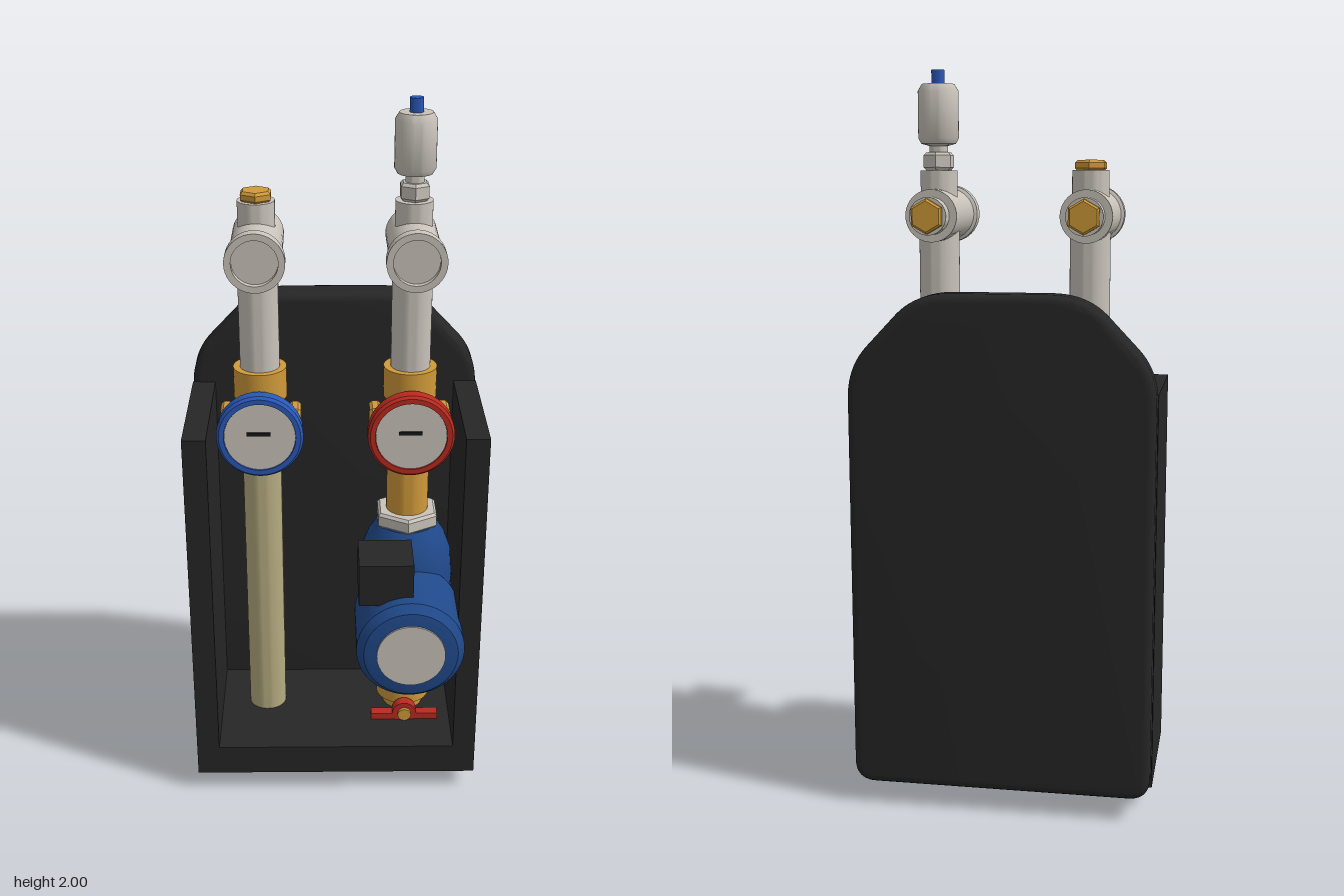
import * as THREE from 'three';
import { toCreasedNormals } from 'three/addons/utils/BufferGeometryUtils.js';

const mat = (name, color) => {
  const m = new THREE.MeshStandardMaterial({ color });
  m.name = name;
  return m;
};

export function createModel() {
  const root = new THREE.Group();
  root.name = 'pumpStation';
  const M = {
    dark: mat('charcoal foam', 0x262626),
    brass: mat('brass', 0xd09a3a),
    oldBrass: mat('aged brass', 0x80602a),
    steel: mat('pale steel', 0xc9c3ba),
    cream: mat('cream pipe', 0xb5ab80),
    blue: mat('signal blue', 0x2a58b8),
    red: mat('signal red', 0xba2a20),
    navy: mat('pump blue', 0x20498a),
    black: mat('black', 0x161616),
  };
  const PX = 0.208, PZ = -0.045;

  const add = (parent, name, geo, material, x = 0, y = 0, z = 0) => {
    const mesh = new THREE.Mesh(geo, material);
    mesh.name = name;
    mesh.position.set(x, y, z);
    parent.add(mesh);
    return mesh;
  };
  const box = (parent, name, m, x0, x1, y0, y1, z0, z1) =>
    add(parent, name, new THREE.BoxGeometry(x1 - x0, y1 - y0, z1 - z0), m,
      (x0 + x1) / 2, (y0 + y1) / 2, (z0 + z1) / 2);
  // Turned part: profile of [radius, height] pairs along the chosen axis
  const turned = (profile, axis = 'y', sides = 40) => {
    const pts = profile.map(([r, h]) => new THREE.Vector2(r, h));
    const g = toCreasedNormals(new THREE.LatheGeometry(pts, sides), 0.6);
    if (axis === 'z') g.rotateX(Math.PI / 2);
    if (axis === 'x') g.rotateZ(-Math.PI / 2);
    return g;
  };
  const rod = (r, a, b, axis = 'y', sides = 40) =>
    turned([[0, a], [r, a], [r, b], [0, b]], axis, sides);
  // Hexagon nut with chamfered ends
  const nut = (r, a, b, axis = 'y') => {
    const c = Math.min(0.008, (b - a) / 4);
    return turned([[0, a], [r - c, a], [r, a + c], [r, b - c], [r - c, b], [0, b]], axis, 6);
  };

  // Insulation case: back shell, floor and two side walls
  const casing = new THREE.Group();
  casing.name = 'case';
  root.add(casing);
  const s = new THREE.Shape();
  s.moveTo(-0.35, 0.06);
  s.lineTo(0.35, 0.06);
  s.quadraticCurveTo(0.41, 0.06, 0.41, 0.12);
  s.lineTo(0.41, 1.14);
  s.quadraticCurveTo(0.41, 1.22, 0.36, 1.275);
  s.lineTo(0.275, 1.365);
  s.quadraticCurveTo(0.22, 1.42, 0.13, 1.42);
  s.lineTo(-0.13, 1.42);
  s.quadraticCurveTo(-0.22, 1.42, -0.275, 1.365);
  s.lineTo(-0.36, 1.275);
  s.quadraticCurveTo(-0.41, 1.22, -0.41, 1.14);
  s.lineTo(-0.41, 0.12);
  s.quadraticCurveTo(-0.41, 0.06, -0.35, 0.06);
  const bevel = 0.022;
  const shell = new THREE.ExtrudeGeometry(s, {
    depth: 0.098 - 2 * bevel, bevelEnabled: true, bevelThickness: bevel,
    bevelSize: bevel, bevelOffset: -bevel, bevelSegments: 4, curveSegments: 10,
  });
  add(casing, 'backShell', toCreasedNormals(shell, 0.6), M.dark, 0, 0, -0.296 + bevel);
  box(casing, 'floor', M.dark, -0.345, 0.345, 0.06, 0.152, -0.2, 0.202);
  for (const k of [-1, 1])
    box(casing, 'sideWall', M.dark, k < 0 ? -0.41 : 0.345, k < 0 ? -0.345 : 0.41, 0.06, 1.155, -0.2, 0.202);

  // Both risers share the stub, ball valve, gauge and tee
  const riser = (name, x, ringColor) => {
    const g = new THREE.Group();
    g.name = name;
    g.position.set(x, 0, PZ);
    root.add(g);
    add(g, 'bottomStub', turned([[0, 0], [0.074, 0], [0.078, 0.005], [0.078, 0.022], [0.074, 0.026],
      [0.074, 0.034], [0.078, 0.038], [0.078, 0.08], [0, 0.08]]), M.oldBrass);

    // Ball valve
    add(g, 'valveBody', turned([[0, 0.975], [0.078, 0.975], [0.078, 1.02], [0.062, 1.03], [0.075, 1.06],
      [0.08, 1.1], [0.075, 1.14], [0.06, 1.165], [0.06, 1.175], [0.074, 1.18], [0.074, 1.268], [0, 1.268]]), M.brass);
    add(g, 'valveCrossBody', rod(0.045, -0.085, 0.085, 'x'), M.brass, 0, 1.1, 0);
    for (const k of [-1, 1])
      add(g, 'valveSideNut', nut(0.056, -0.016, 0.016, 'x'), M.brass, k * 0.096, 1.1, 0);
    add(g, 'gaugeStem', rod(0.05, 0, 0.09, 'z'), M.brass, 0, 1.105, 0);

    // Round gauge with a raised rim
    add(g, 'gaugeRim', turned([[0, 0.076], [0.112, 0.076], [0.12, 0.084], [0.12, 0.117], [0.113, 0.125],
      [0.099, 0.125], [0.099, 0.117], [0, 0.117]], 'z', 56), ringColor, 0, 1.105, 0);
    add(g, 'gaugeFace', rod(0.098, 0.117, 0.121, 'z', 56), M.steel, 0, 1.105, 0);
    box(g, 'gaugeNeedle', M.black, -0.035, 0.03, 1.11, 1.12, 0.121, 0.125);

    // Steel riser and tee
    add(g, 'steelPipe', rod(0.055, 1.268, 1.6), M.steel);
    add(g, 'teeBody', turned([[0, -0.145], [0.05, -0.145], [0.05, -0.103], [0.07, -0.103], [0.07, 0.132],
      [0.079, 0.136], [0.079, 0.17], [0.061, 0.17], [0.061, 0.152], [0, 0.152]], 'z'), M.steel, 0, 1.615, 0);
    add(g, 'teeTop', rod(0.05, 1.62, 1.735), M.steel);
    add(g, 'rearPlug', nut(0.047, -0.168, -0.143, 'z'), M.brass, 0, 1.615, 0);
    return g;
  };
  const left = riser('supplyRiser', PX, M.red);
  const right = riser('returnRiser', -PX, M.blue);

  // Return side: long plain pipe and top plug
  add(right, 'creamPipe', rod(0.055, 0.15, 0.98), M.cream);
  add(right, 'topPlug', nut(0.046, 1.733, 1.762), M.brass);

  // Supply side: air vent on top
  add(left, 'ventNut', nut(0.043, 1.735, 1.783), M.steel);
  add(left, 'airVent', turned([[0, 1.775], [0.025, 1.775], [0.025, 1.8], [0.047, 1.806], [0.055, 1.82],
    [0.055, 1.945], [0.044, 1.963], [0, 1.963]]), M.steel);
  add(left, 'ventCap', rod(0.018, 1.96, 2.0), M.blue);

  // Supply side: pump line
  add(left, 'brassPipe', rod(0.06, 0.82, 0.98), M.brass);
  add(left, 'upperUnion', nut(0.097, 0.78, 0.826), M.steel);
  add(left, 'lowerUnion', nut(0.097, 0.234, 0.28), M.steel);
  add(left, 'lowerValve', turned([[0, 0.15], [0.06, 0.15], [0.06, 0.18], [0.08, 0.186], [0.08, 0.236], [0, 0.236]]), M.brass);
  add(left, 'lowerValveStem', rod(0.02, 0, 0.125, 'z', 20), M.brass, 0, 0.175, 0);
  add(left, 'lowerHandleHub', rod(0.036, 0.085, 0.115, 'z', 24), M.red, 0, 0.175, 0);
  box(left, 'lowerHandle', M.red, -0.1, 0.1, 0.154, 0.174, 0.085, 0.115);

  // Circulation pump
  const pump = new THREE.Group();
  pump.name = 'pump';
  left.add(pump);
  add(pump, 'pumpHousing', turned([[0, 0.278], [0.1, 0.278], [0.106, 0.32], [0.124, 0.38], [0.134, 0.45], [0.136, 0.53],
    [0.136, 0.62], [0.13, 0.69], [0.112, 0.74], [0.085, 0.782], [0, 0.782]], 'y', 48), M.navy);
  add(pump, 'pumpMotor', turned([[0, 0], [0.152, 0.095], [0.152, 0.303], [0.132, 0.327], [0.118, 0.33],
    [0, 0.333]], 'z', 56), M.navy, 0, 0.53, 0);
  add(pump, 'pumpPlate', rod(0.096, 0.328, 0.336, 'z', 48), M.steel, 0, 0.53, 0);
  box(pump, 'controlBox', M.dark, -0.145, 0.007, 0.655, 0.782, 0.122, 0.27);

  return root;
}
